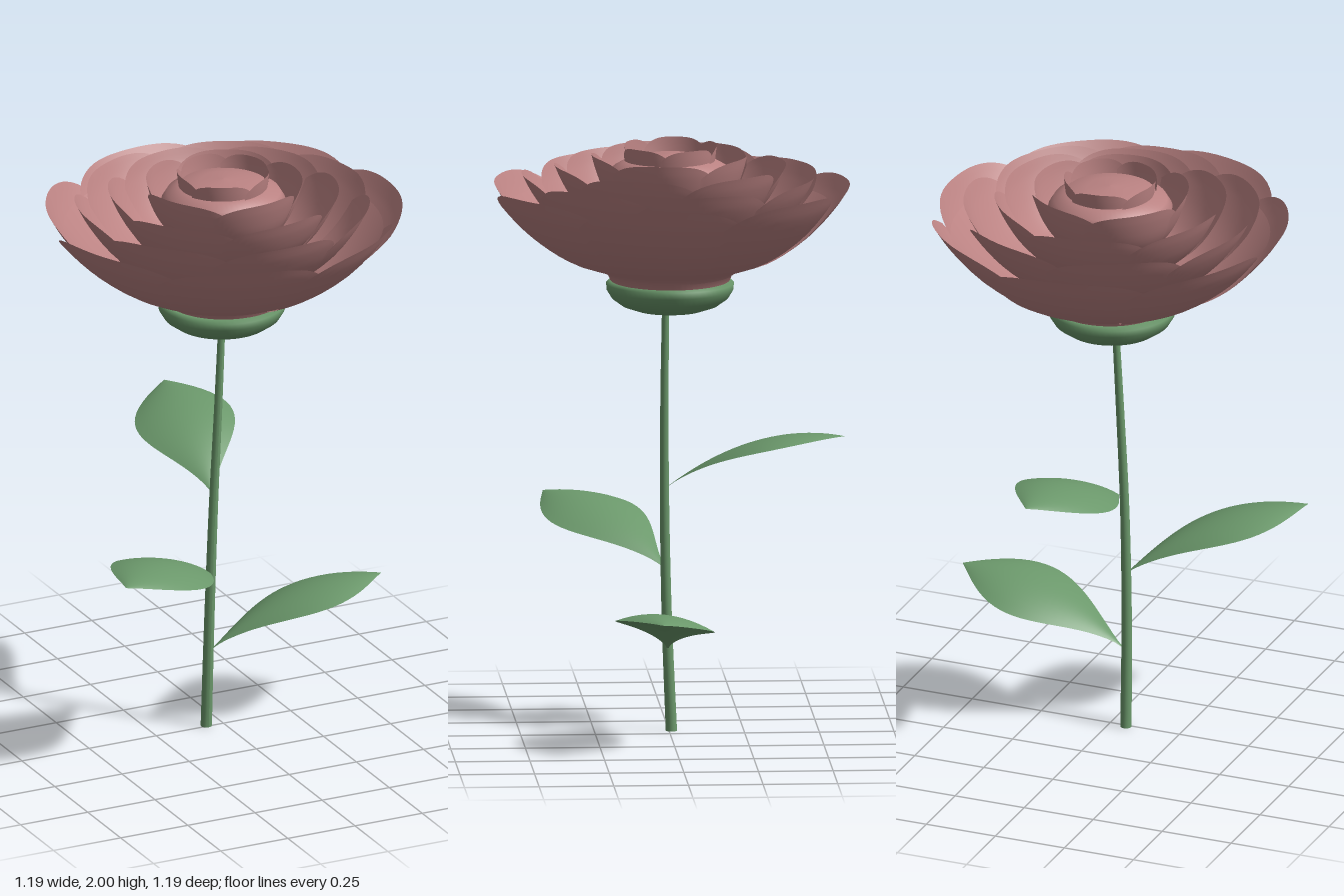
import * as THREE from 'three';
import { ParametricGeometry } from 'three/addons/geometries/ParametricGeometry.js';

const petalPink = new THREE.MeshStandardMaterial({ name: 'petalPink', color: 0xba8282, side: THREE.DoubleSide });
const stemGreen = new THREE.MeshStandardMaterial({ name: 'stemGreen', color: 0x6b986b, side: THREE.DoubleSide });

const rad = THREE.MathUtils.degToRad;

function addMesh(parent, name, geometry, material) {
  const mesh = new THREE.Mesh(geometry, material);
  mesh.name = name;
  parent.add(mesh);
  return mesh;
}

function surface(fn, nu, nv) {
  const geometry = new ParametricGeometry(fn, nu, nv);
  geometry.computeVertexNormals();
  return geometry;
}

function lathe(points, segments = 64) {
  return new THREE.LatheGeometry(points.map(([r, y]) => new THREE.Vector2(r, y)), segments);
}

// Bowl section shared by all petals: x = share of rim radius, y = share of height
const bowl = new THREE.CatmullRomCurve3(
  [[0.32, 0], [0.37, 0.1], [0.57, 0.23], [0.77, 0.48], [0.925, 0.79], [1, 1]]
    .map(([r, h]) => new THREE.Vector3(r, h, 0)));

// One petal: a slice of the bowl with rounded upper corners and a slight pinwheel twist
function petalGeometry({ radius, rim, height, count, steep }) {
  const half = (Math.PI / count) * 1.16;
  const p = new THREE.Vector3();
  return surface((u, v, target) => {
    const s = u * 2 - 1;
    const top = 1 - 0.2 * Math.pow(Math.abs(s), 3.5);
    bowl.getPoint(v * top, p);
    const r = radius * Math.pow(p.x, steep) * (1 + 0.025 * s * v);
    const angle = s * half;
    target.set(r * Math.cos(angle), rim - height * (1 - p.y), r * Math.sin(angle));
  }, 24, 16);
}

// Leaf along +x, arched along its length, edges drooping, one side a little higher
function leafGeometry(length) {
  return surface((u, v, target) => {
    const s = u * 2 - 1;
    const shape = Math.max(Math.sin(Math.PI * Math.pow(v, 1.3)), 0.01);
    const y = 0.47 * v - 0.285 * v * v - 0.04 * s * s * shape + 0.018 * s * shape;
    target.set(length * v, y, 0.167 * s * shape);
  }, 12, 24);
}

export function createModel() {
  const model = new THREE.Group();
  model.name = 'flower';

  // Stem: gently bent, tapering towards the head
  const path = new THREE.CatmullRomCurve3([
    [-0.06, 0, -0.008], [-0.056, 0.4, 0.008], [-0.045, 0.8, 0.016], [-0.028, 1.15, 0.017], [-0.012, 1.47, 0.014],
  ].map((a) => new THREE.Vector3(...a)));
  const stem = new THREE.CylinderGeometry(1, 1, 1, 16, 32);
  const pos = stem.attributes.position;
  const c = new THREE.Vector3();
  for (let i = 0; i < pos.count; i++) {
    const t = pos.getY(i) + 0.5;
    const r = 0.019 - 0.007 * t;
    path.getPoint(t, c);
    pos.setXYZ(i, c.x + pos.getX(i) * r, c.y, c.z + pos.getZ(i) * r);
  }
  stem.computeVertexNormals();
  addMesh(model, 'stem', stem, stemGreen);

  // Leaves spiralling up the stem
  const leaves = [
    { at: [-0.045, 0.28, 0.005], azimuth: 5, length: 0.605 },
    { at: [-0.05, 0.55, 0.012], azimuth: 143, length: 0.63 },
    { at: [-0.04, 0.83, 0.01], azimuth: 280, length: 0.6 },
  ];
  for (const { at, azimuth, length } of leaves) {
    const leaf = addMesh(model, 'leaf', leafGeometry(length), stemGreen);
    leaf.position.set(...at);
    leaf.rotation.y = -rad(azimuth);
  }

  // Flower head
  const head = new THREE.Group();
  head.name = 'flowerHead';
  model.add(head);

  const calyx = addMesh(head, 'calyx', lathe([
    [0, 1.428], [0.06, 1.43], [0.11, 1.438], [0.16, 1.455], [0.195, 1.48],
    [0.212, 1.508], [0.214, 1.53], [0.2, 1.543], [0, 1.545],
  ]), stemGreen);
  calyx.position.x = -0.006;

  // Cup that closes the gaps between the outer petals
  addMesh(head, 'petalCup', lathe([
    [0.195, 1.53], [0.212, 1.57], [0.33, 1.622], [0.445, 1.705], [0.535, 1.8],
  ]), petalPink);

  // Nested rings of petals, from the outside in
  const rings = [
    { radius: 0.597, rim: 1.868, height: 0.33, count: 7, steep: 1, turn: 57.7 },
    { radius: 0.495, rim: 1.902, height: 0.3, count: 7, steep: 0.9, turn: 39 },
    { radius: 0.385, rim: 1.935, height: 0.26, count: 6, steep: 0.8, turn: 82 },
    { radius: 0.262, rim: 1.968, height: 0.22, count: 5, steep: 0.6, turn: 10 },
    { radius: 0.155, rim: 2.0, height: 0.17, count: 5, steep: 0.3, turn: 46 },
  ];
  rings.forEach((ring, k) => {
    const geometry = petalGeometry(ring);
    for (let i = 0; i < ring.count; i++) {
      const petal = addMesh(head, `petalRing${k + 1}`, geometry, petalPink);
      petal.rotation.y = -rad(ring.turn + (360 * i) / ring.count);
    }
  });

  // Low dome in the heart of the bloom
  addMesh(head, 'heart', lathe([
    [0.17, 1.78], [0.2, 1.85], [0.208, 1.895], [0.19, 1.925], [0.15, 1.948],
    [0.08, 1.964], [0, 1.97],
  ]), petalPink);

  return model;
}
